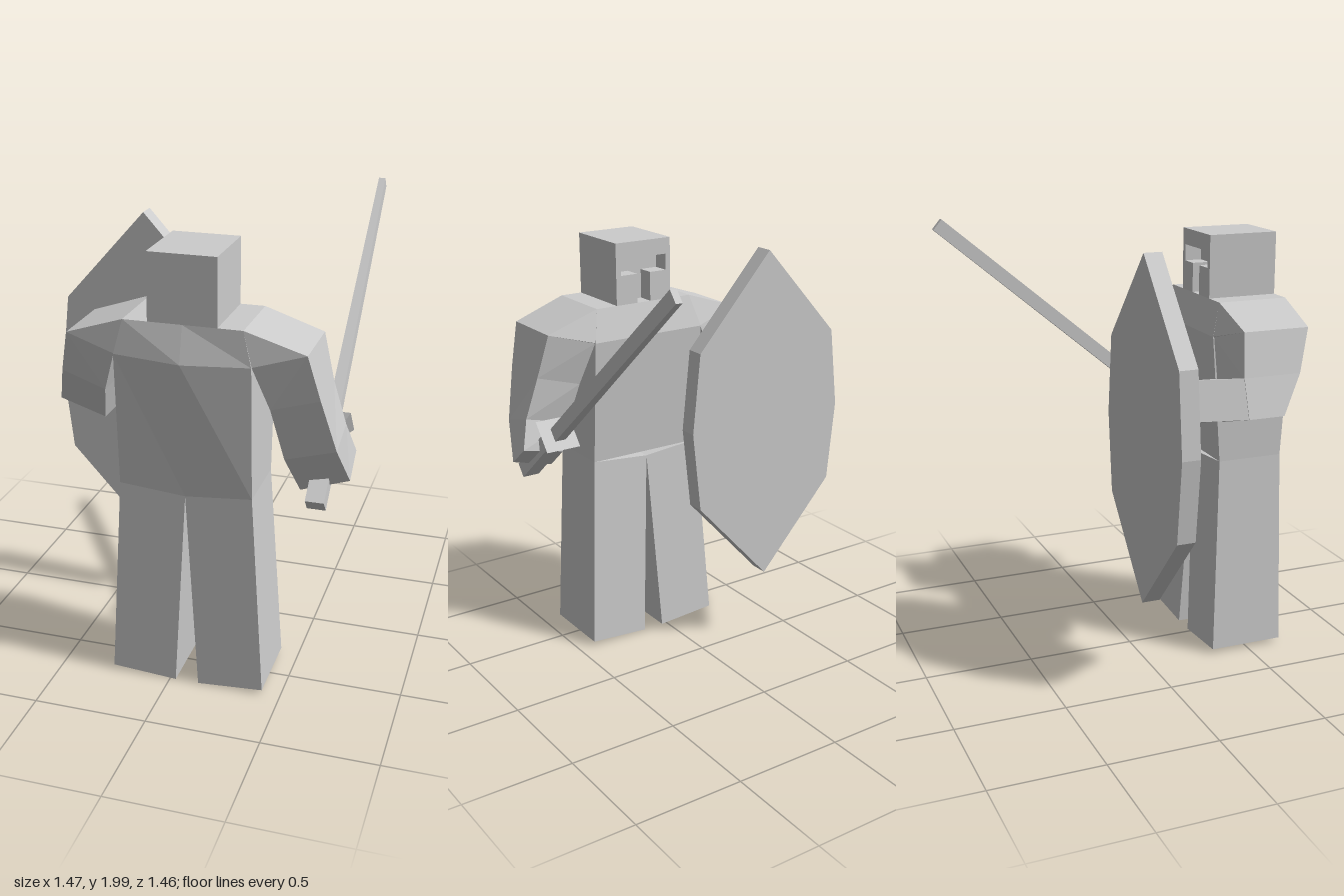
import * as THREE from 'three';

const material = new THREE.MeshStandardMaterial({ color: 0xcccccc, flatShading: true });

function add(parent, name, geometry) {
  const mesh = new THREE.Mesh(geometry, material);
  mesh.name = name;
  parent.add(mesh);
  return mesh;
}

// Closed solid through equal-length rings of [x, y, z] points; mirror = -1 flips x.
function loft(rings, mirror = 1) {
  const R = rings.map(r => r.map(([x, y, z]) => new THREE.Vector3(x * mirror, y, z)));
  const n = R[0].length, last = R[R.length - 1];
  const tris = [];
  for (let i = 0; i < R.length - 1; i++) {
    for (let j = 0; j < n; j++) {
      const k = (j + 1) % n;
      tris.push([R[i][j], R[i][k], R[i + 1][k]], [R[i][j], R[i + 1][k], R[i + 1][j]]);
    }
  }
  for (let j = 1; j < n - 1; j++) {
    tris.push([R[0][0], R[0][j + 1], R[0][j]], [last[0], last[j], last[j + 1]]);
  }
  // Keep every face pointing outward
  const cross = new THREE.Vector3();
  const volume = tris.reduce((s, [a, b, c]) => s + a.dot(cross.crossVectors(b, c)), 0);
  if (volume < 0) tris.forEach(t => t.reverse());
  const geometry = new THREE.BufferGeometry().setFromPoints(tris.flat());
  geometry.computeVertexNormals();
  return geometry;
}

// Rectangular ring in the local xz plane
const rect = (y, hx, hz) => [[-hx, y, -hz], [hx, y, -hz], [hx, y, hz], [-hx, y, hz]];

// Six-point body ring: sides plus a centre point on chest and back
const bodyRing = (hx, y, yMid, front, back, backMid) => [
  [-hx, y, front], [0, y, front], [hx, y, front],
  [hx, y, back], [0, yMid, backMid], [-hx, y, back],
];

// Arm section: outer edge then inner edge, each with a front and back point
const armRing = (ox, oyF, oyB, ozF, ozB, ix, iyF, iyB, izF, izB) => [
  [ox, oyF, ozF], [ox, oyB, ozB], [ix, iyB, izB], [ix, iyF, izF],
];

function polygon(points) {
  return new THREE.Shape(points.map(([x, y]) => new THREE.Vector2(x, y)));
}

function buildHead(body) {
  const head = new THREE.Group();
  head.name = 'helmet';
  body.add(head);
  // Solid rear of the helmet
  const rear = add(head, 'helmetShell', new THREE.BoxGeometry(0.29, 0.29, 0.25));
  rear.position.set(0, 1.805, 0.565);
  // Face plate with a T-shaped opening
  const plate = polygon([
    [-0.145, 1.66], [-0.035, 1.66], [-0.035, 1.8], [-0.12, 1.8], [-0.12, 1.875],
    [0.12, 1.875], [0.12, 1.8], [0.035, 1.8], [0.035, 1.66], [0.145, 1.66],
    [0.145, 1.95], [-0.145, 1.95],
  ]);
  const face = add(head, 'facePlate', new THREE.ExtrudeGeometry(plate, { depth: 0.08, bevelEnabled: false }));
  face.position.z = 0.36;
}

function buildSword() {
  const sword = new THREE.Group();
  sword.name = 'sword';
  add(sword, 'blade', loft([rect(0, 0.026, 0.031), rect(1.287, 0.015, 0.031)]));
  add(sword, 'guard', loft([rect(-0.022, 0.055, 0.053), rect(0.022, 0.083, 0.077)]));
  add(sword, 'grip', loft([rect(-0.385, 0.04, 0.035), rect(-0.01, 0.04, 0.035)]));
  sword.position.set(0.607, 1.14, 0.27);
  sword.rotation.x = -0.871;
  return sword;
}

export function createModel() {
  const model = new THREE.Group();
  model.name = 'knight';
  const body = new THREE.Group();
  body.name = 'body';
  body.position.x = 0.078;
  model.add(body);

  // Torso
  add(body, 'torso', loft([
    bodyRing(0.287, 0.935, 0.91, 0.36, 0.67, 0.67),
    bodyRing(0.287, 1.52, 1.51, 0.315, 0.705, 0.73),
    bodyRing(0.25, 1.665, 1.665, 0.36, 0.69, 0.69),
  ]));
  buildHead(body);

  // Legs
  for (const side of [1, -1]) {
    add(body, side > 0 ? 'leftLeg' : 'rightLeg', loft([
      [[0.052, 0, 0.32], [0.342, 0.02, 0.32], [0.342, 0.02, 0.67], [0.052, 0, 0.67]],
      [[0, 0.91, 0.36], [0.287, 0.935, 0.36], [0.287, 0.935, 0.67], [0, 0.91, 0.67]],
    ], side));
  }

  // Shoulder sections shared by both arms
  const shoulder = [
    armRing(0.25, 1.665, 1.665, 0.36, 0.69, 0.28, 1.52, 1.52, 0.315, 0.705),
    armRing(0.502, 1.58, 1.58, 0.36, 0.67, 0.287, 1.52, 1.52, 0.32, 0.7),
  ];
  // Hanging arm that holds the sword
  add(body, 'swordArm', loft([
    ...shoulder,
    armRing(0.552, 1.385, 1.385, 0.385, 0.635, 0.352, 1.33, 1.33, 0.36, 0.65),
    armRing(0.612, 1.2, 1.15, 0.395, 0.575, 0.402, 1.15, 1.1, 0.39, 0.6),
    armRing(0.652, 1.07, 0.98, 0.355, 0.47, 0.447, 1.02, 0.92, 0.37, 0.49),
  ]));
  // Bent arm that carries the shield
  add(body, 'shieldUpperArm', loft([
    ...shoulder,
    armRing(0.553, 1.39, 1.39, 0.34, 0.61, 0.348, 1.34, 1.34, 0.31, 0.65),
    armRing(0.608, 1.22, 1.22, 0.34, 0.51, 0.403, 1.16, 1.16, 0.31, 0.52),
  ], -1));
  add(body, 'shieldForearm', loft([
    [[0.553, 1.39, 0.35], [0.33, 1.34, 0.31], [0.39, 1.16, 0.31], [0.608, 1.22, 0.35]],
    [[0.478, 1.39, 0.01], [0.258, 1.33, 0.01], [0.313, 1.15, 0.01], [0.533, 1.22, 0.01]],
  ], -1));

  // Shield: tall eight-sided plate
  const half = [[0, 1.93], [0.375, 1.51], [0.415, 1.14], [0.375, 0.765], [0, 0.35]];
  const outline = [...half, ...half.slice(1, -1).reverse().map(([x, y]) => [-x, y])];
  const shield = add(model, 'shield', new THREE.ExtrudeGeometry(polygon(outline), { depth: 0.085, bevelEnabled: false }));
  shield.position.set(-0.32, 0, -0.067);

  model.add(buildSword());
  return model;
}
